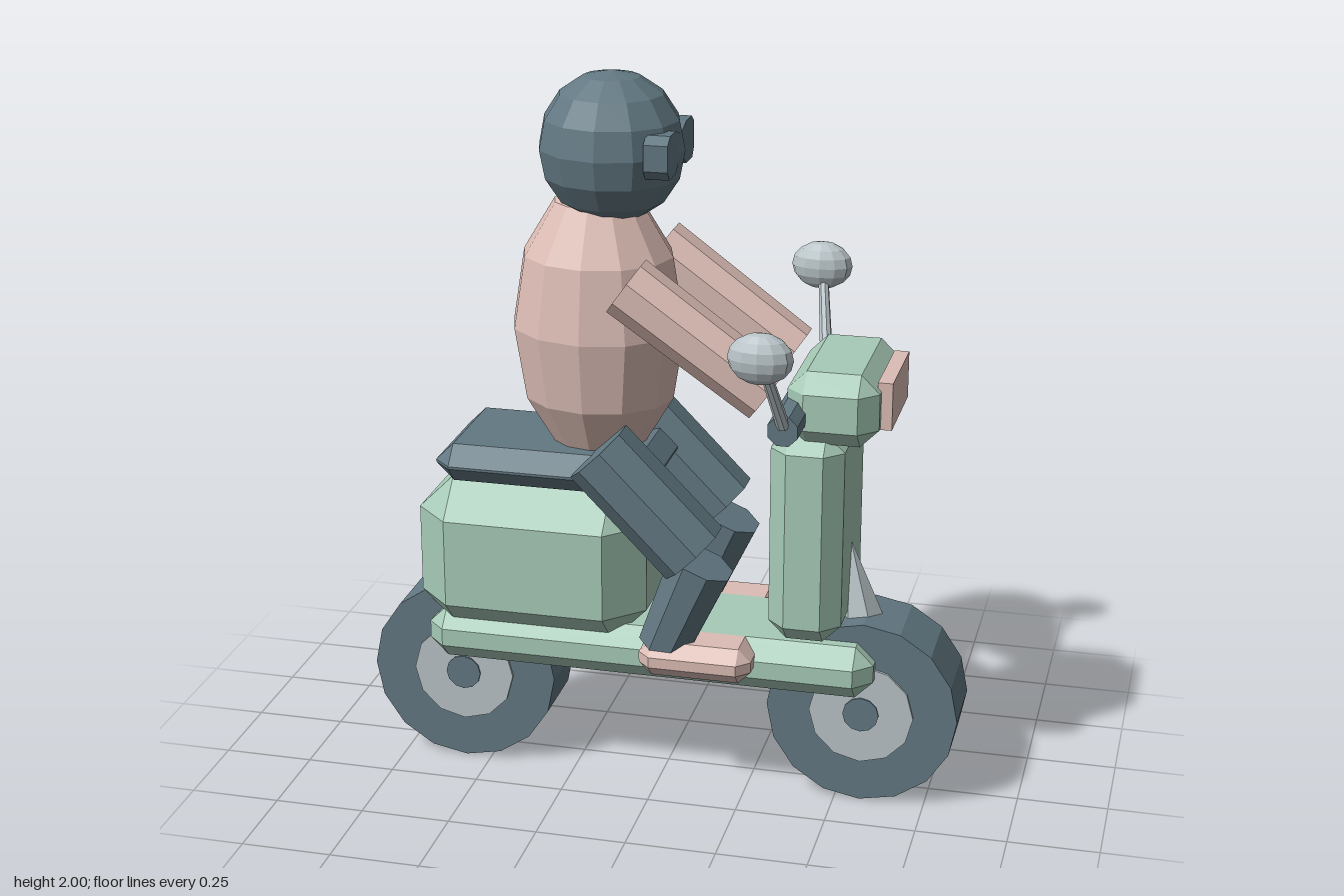
import * as THREE from 'three';
import { ConvexGeometry } from 'three/addons/geometries/ConvexGeometry.js';

function mat(name, color) {
  const m = new THREE.MeshStandardMaterial({ color });
  m.name = name;
  m.flatShading = true;
  return m;
}

export function createModel() {
  const root = new THREE.Group();
  root.name = 'scooterAndRider';
  const green = mat('mintGreen', 0xa8cbb8);
  const pink = mat('palePink', 0xdcbdb5);
  const dark = mat('slate', 0x627882);
  const silver = mat('silver', 0xb9c4c8);

  function add(name, geometry, material, x = 0, y = 0, z = 0) {
    const mesh = new THREE.Mesh(geometry, material);
    mesh.name = name;
    mesh.position.set(x, y, z);
    root.add(mesh);
    return mesh;
  }

  // box with all edges chamfered, given by its limits
  function chamferBox(name, material, x0, x1, y0, y1, z0, z1, b) {
    const h = [(x1 - x0) / 2, (y1 - y0) / 2, (z1 - z0) / 2];
    const points = [];
    for (const sx of [-1, 1]) for (const sy of [-1, 1]) for (const sz of [-1, 1])
      for (let face = 0; face < 3; face++) {
        const c = h.map((v, i) => (i === face ? v : v - b));
        points.push(new THREE.Vector3(sx * c[0], sy * c[1], sz * c[2]));
      }
    return add(name, new ConvexGeometry(points), material,
      (x0 + x1) / 2, (y0 + y1) / 2, (z0 + z1) / 2);
  }

  // straight, optionally tapered rod between two points
  function rod(name, material, from, to, r0, r1, sides) {
    const a = new THREE.Vector3(...from), b = new THREE.Vector3(...to);
    const dir = b.clone().sub(a);
    const geo = new THREE.CylinderGeometry(r1, r0, dir.length(), sides);
    geo.rotateY(Math.PI / sides);
    const mesh = add(name, geo, material);
    mesh.position.copy(a).add(b).multiplyScalar(0.5);
    mesh.quaternion.setFromUnitVectors(new THREE.Vector3(0, 1, 0), dir.normalize());
    return mesh;
  }

  function ball(name, material, rx, ry, rz, x, y, z, w, h) {
    const geo = new THREE.SphereGeometry(1, w, h).scale(rx, ry, rz);
    return add(name, geo, material, x, y, z);
  }

  // wheels: tyre, hub and axle discs
  for (const [end, x] of [['rear', -0.573], ['front', 0.57]]) {
    const discs = [['Tyre', 0.265, 0.21, 16, dark], ['Hub', 0.145, 0.226, 12, silver], ['Axle', 0.05, 0.236, 12, dark]];
    for (const [part, r, width, sides, m] of discs) {
      const geo = new THREE.CylinderGeometry(r, r, width, sides).rotateX(Math.PI / 2);
      add(end + part, geo, m, x, 0.265, 0);
    }
  }

  // scooter body
  chamferBox('floorboard', green, -0.66, 0.605, 0.325, 0.475, -0.185, 0.185, 0.05);
  chamferBox('rearBody', green, -0.685, -0.035, 0.415, 0.865, -0.218, 0.218, 0.1);
  chamferBox('seat', dark, -0.622, 0, 0.865, 0.972, -0.2, 0.2, 0.05);
  chamferBox('legShield', green, 0.315, 0.515, 0.49, 1.09, -0.2, 0.2, 0.05);
  chamferBox('handlebarCowl', green, 0.36, 0.605, 1.065, 1.265, -0.21, 0.21, 0.05);
  add('headlight', new THREE.BoxGeometry(0.04, 0.13, 0.275), pink, 0.615, 1.175, 0);
  rod('fork', silver, [0.565, 0.4, 0], [0.512, 0.73, 0], 0.09, 0.002, 6);
  rod('handlebar', dark, [0.378, 1.148, -0.315], [0.378, 1.148, 0.315], 0.043, 0.043, 8);

  // rider's body and helmet
  ball('torso', pink, 0.24, 0.4, 0.21, -0.195, 1.3, 0, 12, 6);
  ball('helmet', dark, 0.2, 0.205, 0.19, -0.155, 1.795, 0, 12, 8);

  // goggles: two lenses joined by a narrow bridge
  const lens = new THREE.Shape([
    [-0.15, 1.77], [-0.13, 1.745], [-0.06, 1.745], [-0.025, 1.77],
    [0.025, 1.77], [0.06, 1.745], [0.13, 1.745], [0.15, 1.77],
    [0.15, 1.84], [0.12, 1.86], [0.06, 1.86], [0, 1.84],
    [-0.06, 1.86], [-0.12, 1.86], [-0.15, 1.84],
  ].map(p => new THREE.Vector2(...p)));
  const goggles = new THREE.ExtrudeGeometry(lens, { depth: 0.065, bevelEnabled: false });
  add('goggles', goggles.rotateY(Math.PI / 2), dark, -0.032, 0, 0);

  // paired parts on both sides
  for (const [side, s] of [['left', 1], ['right', -1]]) {
    rod(side + 'Arm', pink, [-0.07, 1.47, s * 0.185], [0.31, 1.2, s * 0.18], 0.086, 0.08, 8);
    rod(side + 'Thigh', dark, [-0.15, 1.0, s * 0.185], [0.115, 0.73, s * 0.185], 0.103, 0.103, 8);
    rod(side + 'Shin', dark, [0.135, 0.7, s * 0.175], [0.03, 0.445, s * 0.175], 0.092, 0.075, 8);
    chamferBox(side + 'Shoe', pink, -0.03, 0.283, 0.375, 0.475, s * 0.18 - 0.08, s * 0.18 + 0.08, 0.035);
    rod(side + 'MirrorStem', dark === null ? dark : silver, [0.378, 1.16, s * 0.305], [0.345, 1.36, s * 0.415], 0.018, 0.014, 8);
    ball(side + 'Mirror', silver, 0.086, 0.068, 0.05, 0.34, 1.38, s * 0.425, 12, 8);
  }

  return root;
}
